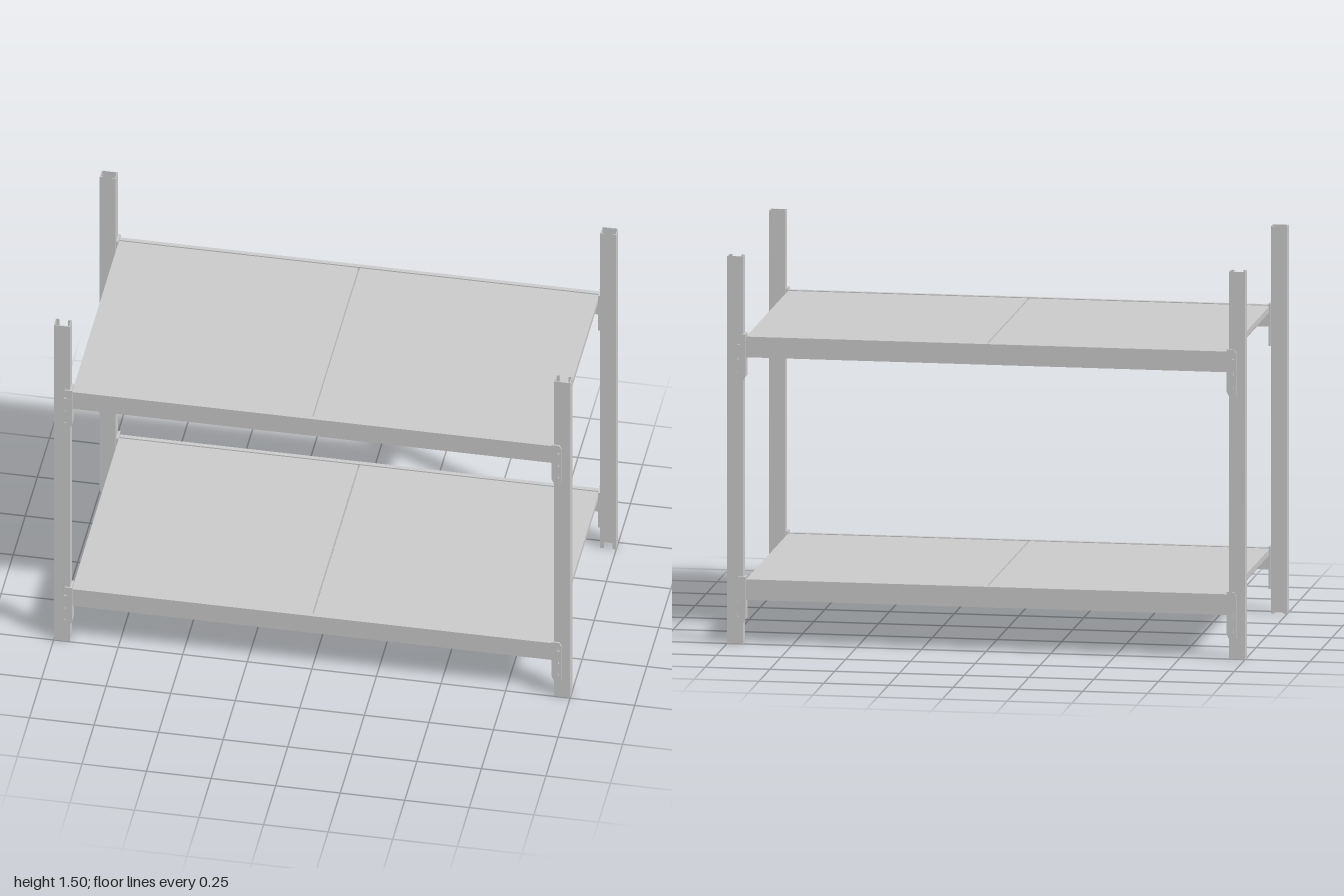
import * as THREE from 'three';

const steel = new THREE.MeshStandardMaterial({ color: 0xcccccc, side: THREE.DoubleSide, flatShading: true });

function add(parent, name, geometry, x = 0, y = 0, z = 0) {
  const mesh = new THREE.Mesh(geometry, steel);
  mesh.name = name;
  mesh.position.set(x, y, z);
  parent.add(mesh);
  return mesh;
}

function extrude(points, depth, holes = []) {
  const shape = new THREE.Shape(points.map(([x, y]) => new THREE.Vector2(x, y)));
  for (const h of holes) shape.holes.push(new THREE.Path(h.map(([x, y]) => new THREE.Vector2(x, y))));
  return new THREE.ExtrudeGeometry(shape, { depth, bevelEnabled: false });
}

// Lipped channel, open towards the middle of the rack; drawn in x, z and stood upright
function postGeometry() {
  const t = 0.003, o = 1, i = 0.938, out = 0.497, inn = 0.455, lip = 0.014;
  const g = extrude([
    [i, out], [o, out], [o, inn], [o - lip, inn], [o - lip, inn + t], [o - t, inn + t],
    [o - t, out - t], [i + t, out - t], [i + t, inn + t], [i + lip, inn + t], [i + lip, inn], [i, inn],
  ], 1.5);
  return g.rotateX(Math.PI / 2).translate(0, 1.5, 0);
}

// Stepped beam section, drawn in z, y with the ledge facing inward; runs along x
function beamGeometry() {
  const g = extrude([
    [0.497, 0], [0.497, 0.08], [0.48, 0.08], [0.48, 0.053], [0.457, 0.053], [0.457, 0],
  ], 1.86);
  return g.rotateY(-Math.PI / 2).translate(0.93, 0, 0);
}

// Front plate of the beam connector, with slots for the hooks
function connectorGeometry() {
  const slot = (x, y, w, h) => [[x, y], [x, y + h], [x + w, y + h], [x + w, y]];
  return extrude([
    [0.928, -0.07], [0.937, -0.09], [0.966, -0.09], [0.966, 0.075], [0.958, 0.09], [0.928, 0.09],
  ], 0.006, [slot(0.95, 0.05, 0.01, 0.006), slot(0.954, -0.01, 0.004, 0.014), slot(0.954, -0.065, 0.004, 0.014)]);
}

// Tapered stiffening rib under the deck, running along z
function ribGeometry() {
  return extrude([[-0.034, 0], [0.034, 0], [0.02, -0.038], [-0.02, -0.038]], 0.908).translate(0, 0, -0.454);
}

function buildShelf(beamBottom) {
  const shelf = new THREE.Group();
  shelf.name = 'shelf';
  shelf.position.y = beamBottom;
  const beam = beamGeometry(), plate = connectorGeometry(), rib = ribGeometry();

  // Two identical halves, front and back, turned about the vertical axis
  for (const turn of [0, Math.PI]) {
    const side = new THREE.Group();
    side.name = turn ? 'backBeamAssembly' : 'frontBeamAssembly';
    side.rotation.y = turn;
    add(side, 'beam', beam);
    for (const s of [-1, 1]) {
      add(side, 'connectorPlate', plate, 0, 0, 0.498).scale.x = s;
      add(side, 'connectorFlange', new THREE.BoxGeometry(0.008, 0.165, 0.046), s * 0.933, 0.0075, 0.479);
    }
    shelf.add(side);
  }

  // Two deck panels with a narrow seam between them
  const width = 0.927, count = 9, pitch = width / count;
  for (const s of [-1, 1]) {
    add(shelf, 'deckPanel', new THREE.BoxGeometry(width, 0.023, 0.956), s * (0.003 + width / 2), 0.0655, 0);
    for (let i = 0; i < count; i++) {
      add(shelf, 'deckRib', rib, s * (0.003 + pitch * (i + 0.5)), 0.054, 0);
    }
  }
  return shelf;
}

export function createModel() {
  const rack = new THREE.Group();
  rack.name = 'storageRack';

  const post = postGeometry();
  for (const sx of [-1, 1]) {
    for (const sz of [-1, 1]) {
      add(rack, 'post', post).scale.set(sx, 1, sz);
    }
  }

  for (const y of [0.17, 1.11]) rack.add(buildShelf(y));
  return rack;
}
